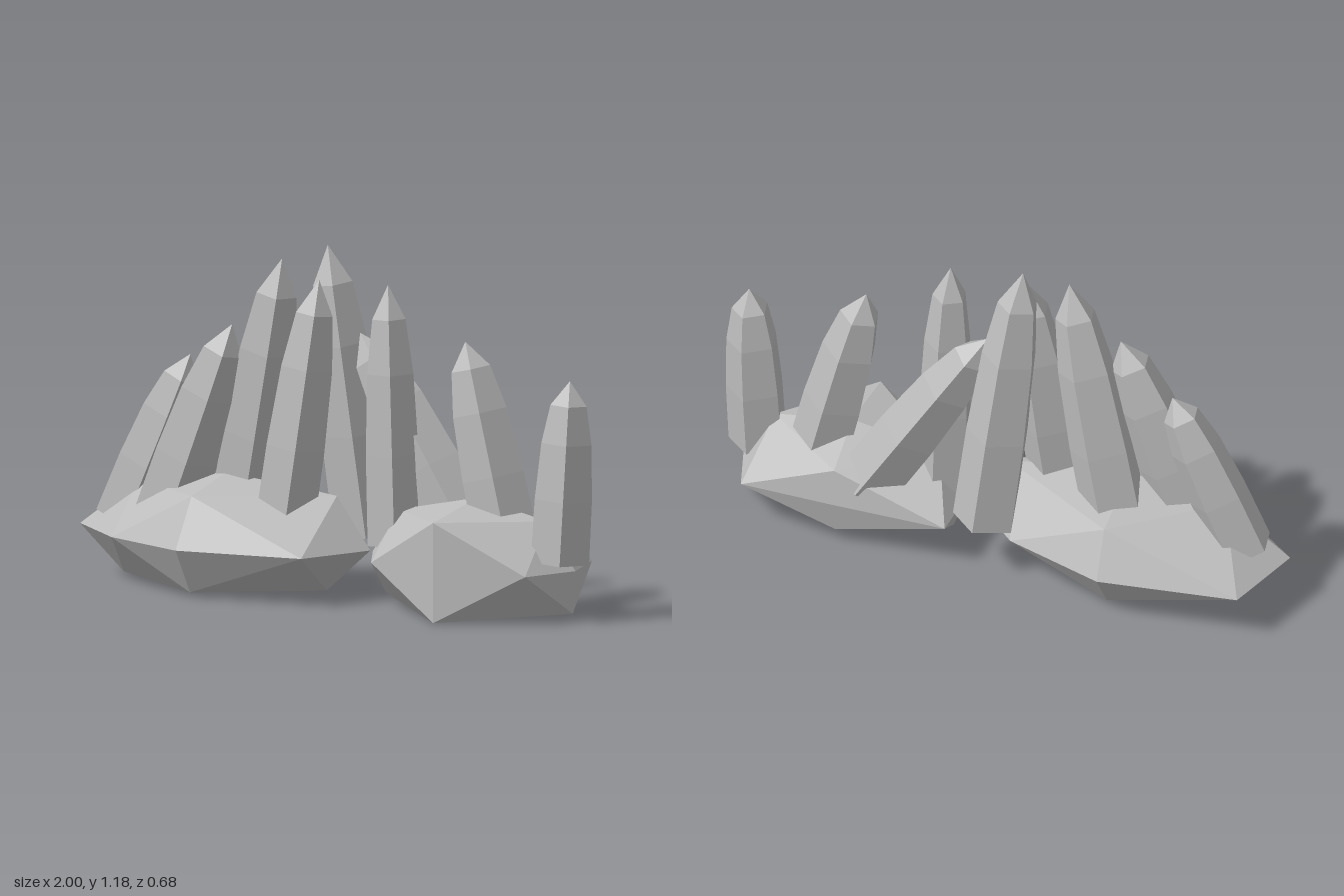
import * as THREE from 'three';

const stone = new THREE.MeshStandardMaterial({ color: 0xbcbcbc, flatShading: true, side: THREE.DoubleSide });
stone.name = 'pale grey stone';

// Faceted boulder, open underneath: eight-point waist, four upper and four lower corners, a peak.
// Corners run +x, +z, -x, -z; the waist also has the points in between.
function rock(name, waistY, waist, upper, lower, peak) {
  const e = waist.map(([x, z]) => [x, waistY, z]);
  const pos = [];
  for (let i = 0; i < 4; i++) {
    const j = (i + 1) % 4;
    const a = e[2 * i], m = e[2 * i + 1], b = e[2 * j];
    // upper band and cap
    pos.push(...a, ...upper[i], ...m);
    pos.push(...m, ...upper[i], ...upper[j]);
    pos.push(...m, ...upper[j], ...b);
    pos.push(...upper[i], ...peak, ...upper[j]);
    // lower band
    pos.push(...a, ...m, ...lower[i]);
    pos.push(...m, ...lower[j], ...lower[i]);
    pos.push(...m, ...b, ...lower[j]);
  }
  const g = new THREE.BufferGeometry();
  g.setAttribute('position', new THREE.Float32BufferAttribute(pos, 3));
  g.computeVertexNormals();
  const mesh = new THREE.Mesh(g, stone);
  mesh.name = name;
  return mesh;
}

// Five-sided tapering shard, open at the base, from a base centre to a pointed tip
function crystal(base, tip, radius) {
  const a = new THREE.Vector3(...base);
  const dir = new THREE.Vector3(...tip).sub(a);
  const len = dir.length();
  const profile = [[1, 0], [0.98, 0.35], [0.86, 0.66], [0.62, 0.87], [0, 1]]
    .map(([r, h]) => new THREE.Vector2(r * radius, h * len));
  const g = new THREE.LatheGeometry(profile, 5);
  g.rotateY(0.52);
  const mesh = new THREE.Mesh(g, stone);
  mesh.position.copy(a);
  mesh.quaternion.setFromUnitVectors(new THREE.Vector3(0, 1, 0), dir.normalize());
  return mesh;
}

export function createModel() {
  const model = new THREE.Group();
  model.name = 'crystalCluster';

  model.add(rock('rightRock', 0.17,
    [[0.13, 0], [0.02, 0.27], [-0.43, 0.335], [-0.76, 0.2], [-1, 0], [-0.91, -0.29], [-0.43, -0.34], [-0.08, -0.21]],
    [[0, 0.345, 0], [-0.43, 0.34, 0.23], [-0.77, 0.34, 0], [-0.43, 0.33, -0.26]],
    [[-0.04, 0.02, 0], [-0.43, 0.015, 0.24], [-0.83, 0.02, 0], [-0.43, 0.025, -0.235]],
    [-0.43, 0.39, 0]));

  model.add(rock('leftRock', 0.17,
    [[0.94, 0.02], [0.86, 0.215], [0.55, 0.297], [0.26, 0.215], [0.14, 0], [0.15, -0.215], [0.55, -0.205], [0.88, -0.19]],
    [[0.83, 0.33, 0.02], [0.55, 0.34, 0.297], [0.24, 0.32, 0], [0.55, 0.3, -0.19]],
    [[0.93, 0.025, 0.02], [0.55, 0, 0.297], [0.19, 0.035, 0], [0.55, 0.05, -0.175]],
    [0.55, 0.385, 0]));

  // Base, tip and radius of each shard
  const shards = [
    [[-0.85, 0.2, -0.04], [-0.6, 0.77, -0.05], 0.105],
    [[-0.66, 0.2, 0.03], [-0.39, 0.9, 0.03], 0.115],
    [[-0.43, 0.2, -0.09], [-0.225, 1.13, -0.02], 0.115],
    [[-0.175, 0.2, 0.06], [-0.06, 1.075, 0.015], 0.105],
    [[0.025, 0.2, -0.15], [-0.08, 1.18, -0.075], 0.113],
    [[0.225, 0.2, 0], [0.205, 1.08, 0.01], 0.095],
    [[0.46, 0.22, -0.095], [0.04, 0.89, -0.085], 0.112],
    [[0.665, 0.22, -0.005], [0.5, 0.91, 0], 0.112],
    [[0.895, 0.2, 0.045], [0.925, 0.815, 0.03], 0.103],
  ];
  shards.forEach((s, i) => {
    const shard = crystal(...s);
    shard.name = `crystal${i + 1}`;
    model.add(shard);
  });
  return model;
}
